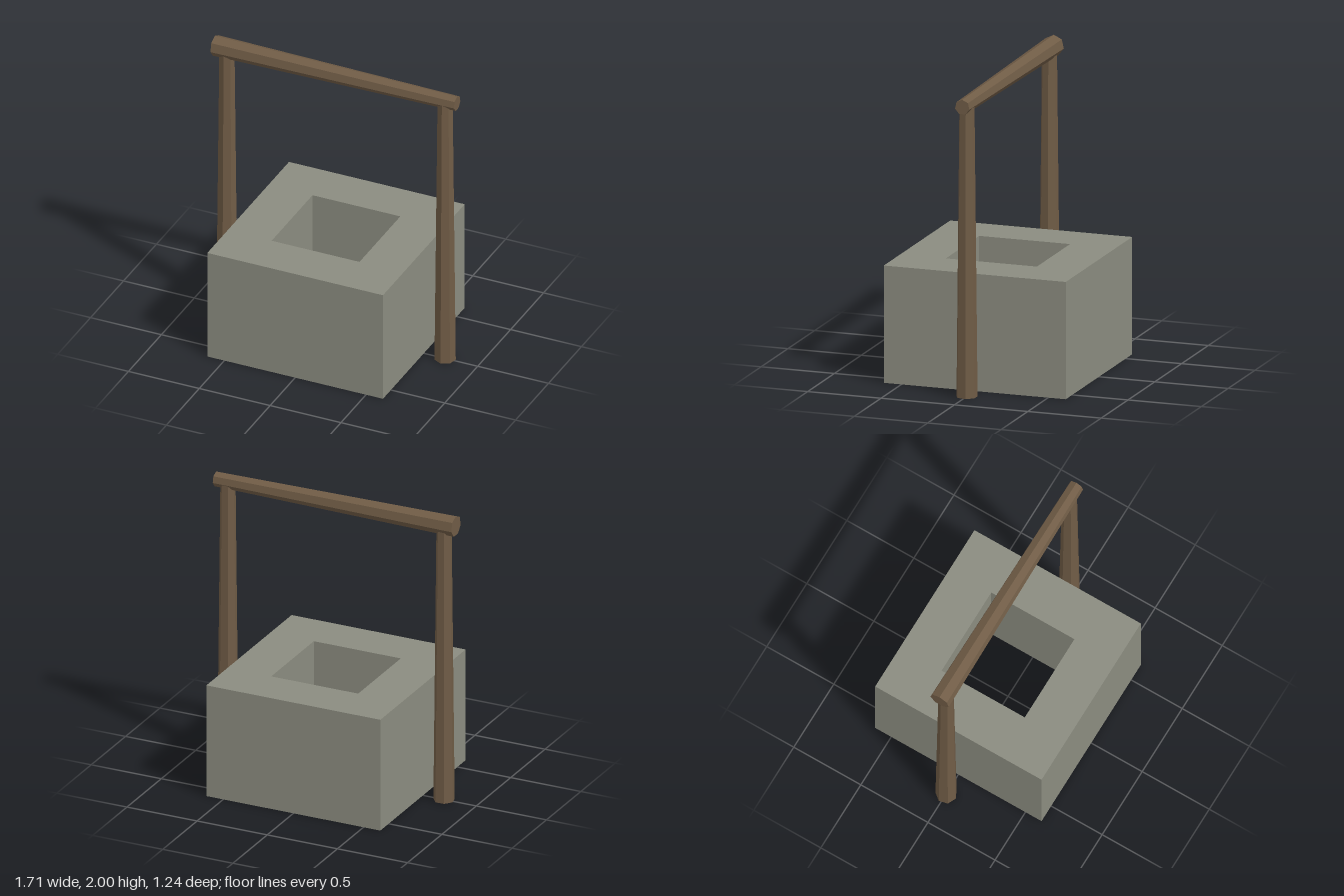
import * as THREE from 'three';

export function createModel() {
  const model = new THREE.Group();
  model.name = 'well';

  const stone = new THREE.MeshStandardMaterial({ color: 0x8b8c80 });
  stone.name = 'stone';
  const wood = new THREE.MeshStandardMaterial({ color: 0x705c46, flatShading: true });
  wood.name = 'wood';

  const add = (name, geometry, material) => {
    const mesh = new THREE.Mesh(geometry, material);
    mesh.name = name;
    model.add(mesh);
    return mesh;
  };

  // Square stone wall with an open shaft straight through it
  const square = (Type, h) => new Type([[-h, -h], [h, -h], [h, h], [-h, h]].map(([x, y]) => new THREE.Vector2(x, y)));
  const outline = square(THREE.Shape, 0.62);
  outline.holes.push(square(THREE.Path, 0.31));
  const wall = new THREE.ExtrudeGeometry(outline, { depth: 0.775, bevelEnabled: false });
  wall.rotateX(-Math.PI / 2);
  add('stoneWall', wall, stone);

  // Tapered seven-sided logs
  const log = (length) => new THREE.CylinderGeometry(0.05, 0.07, length, 7);

  // Upright posts
  for (const [name, side] of [['leftPost', 1], ['rightPost', -1]]) {
    add(name, log(1.92), wood).position.set(side * 0.77, 0.96, 0);
  }

  // Crossbeam, thick end to the right, one edge facing up
  const beam = log(1.71).rotateZ(-Math.PI / 2).rotateX(-Math.PI / 2);
  add('crossbeam', beam, wood).position.y = 1.93;

  return model;
}
